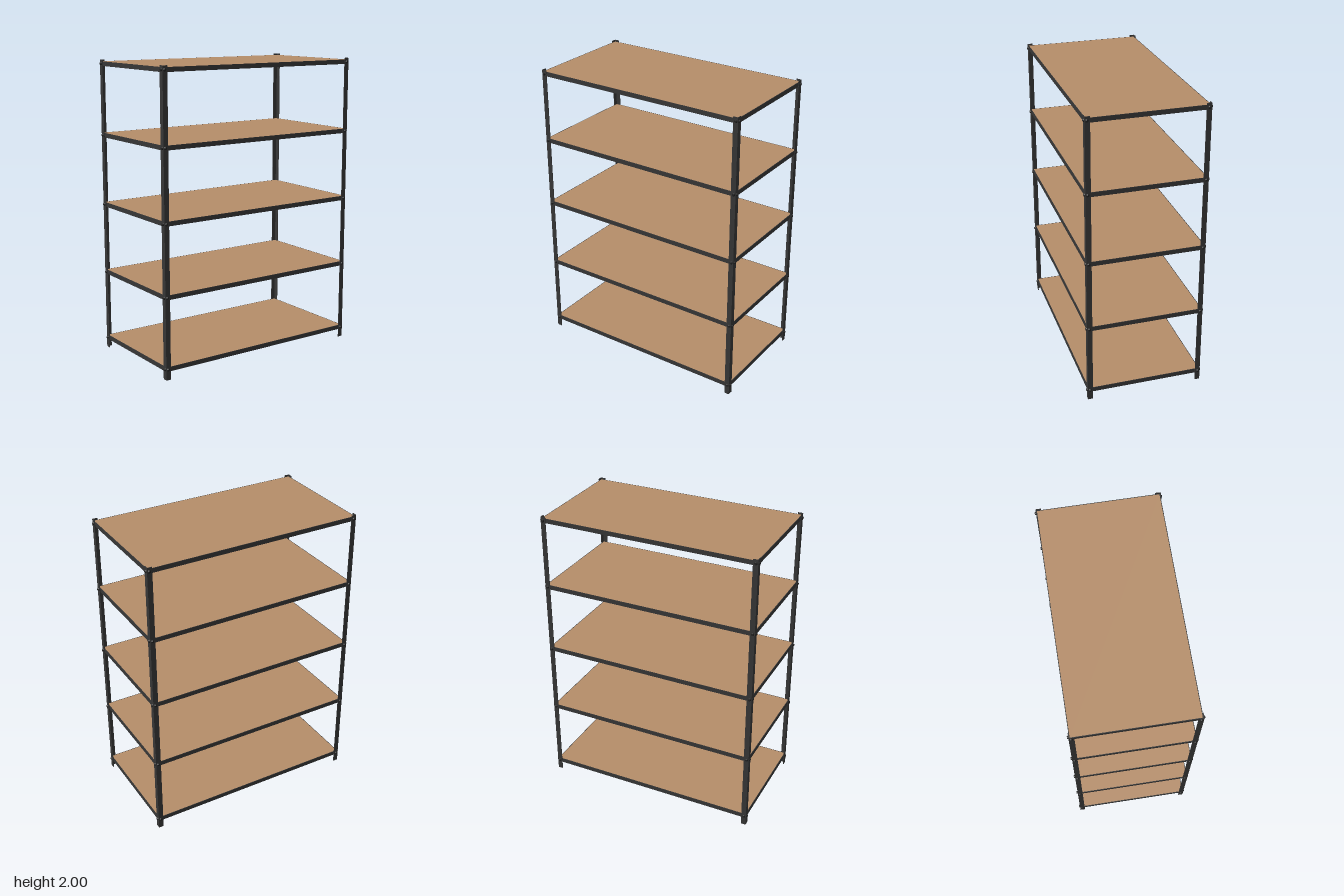
import * as THREE from 'three';

const frame = new THREE.MeshStandardMaterial({ color: 0x363636 });
frame.name = 'dark steel';
const wood = new THREE.MeshStandardMaterial({ color: 0xb58d69 });
wood.name = 'brown board';
const steel = new THREE.MeshStandardMaterial({ color: 0x222222 });
steel.name = 'black bolt';

const X = 0.395, Z = 0.748;       // outer faces of the posts
const T = 0.004, LEG = 0.034;     // sheet thickness, post flange width
const RAIL = 0.03, BOARD = 0.012; // rail height, board thickness
const LEVELS = [0.07, 0.546, 1.022, 1.498, 1.974];

function box(parent, name, mat, w, h, d, x, y, z) {
  const mesh = new THREE.Mesh(new THREE.BoxGeometry(w, h, d), mat);
  mesh.name = name;
  mesh.position.set(x, y, z);
  parent.add(mesh);
}

// L-section upright, extruded from the floor to the top
function post(sx, sz) {
  const pts = [[0, 0], [LEG, 0], [LEG, T], [T, T], [T, LEG], [0, LEG]]
    .map(([a, b]) => new THREE.Vector2(sx * (X - a), -sz * (Z - b)));
  const geo = new THREE.ExtrudeGeometry(new THREE.Shape(pts), { depth: 2, bevelEnabled: false });
  geo.rotateX(-Math.PI / 2);
  const mesh = new THREE.Mesh(geo, frame);
  mesh.name = 'cornerPost';
  return mesh;
}

// Bolt head outside the post and hexagonal nut inside the rail
function bolt(axis, s, x, y, z) {
  const group = new THREE.Group();
  group.name = 'bolt';
  const head = new THREE.Mesh(new THREE.CylinderGeometry(0.007, 0.011, 0.008, 16), steel);
  head.name = 'boltHead';
  head.position.y = 0.004;
  const nut = new THREE.Mesh(new THREE.CylinderGeometry(0.01, 0.01, 0.008, 6), steel);
  nut.name = 'boltNut';
  nut.position.y = -2 * T - 0.004;
  group.add(head, nut);
  if (axis === 'x') group.rotation.z = -s * Math.PI / 2;
  else group.rotation.x = s * Math.PI / 2;
  group.position.set(x, y, z);
  return group;
}

function shelf(y) {
  const group = new THREE.Group();
  group.name = 'shelf';
  const top = y + RAIL / 2, under = top - BOARD;
  const ix = X - T, iz = Z - T; // inner faces of the posts
  box(group, 'shelfBoard', wood, 2 * (ix - T), BOARD, 2 * (iz - T), 0, top - BOARD / 2, 0);
  for (const s of [-1, 1]) {
    // Rails: upright web with a ledge carrying the board
    box(group, 'sideRail', frame, T, RAIL, 2 * iz, s * (ix - T / 2), y, 0);
    box(group, 'sideRailLedge', frame, 0.018, T, 2 * (iz - T), s * (ix - T - 0.009), under - T / 2, 0);
    box(group, 'endRail', frame, 2 * (ix - T), RAIL, T, 0, y, s * (iz - T / 2));
    box(group, 'endRailLedge', frame, 2 * (ix - T), T, 0.018, 0, under - T / 2, s * (iz - T - 0.009));
    for (const t of [-1, 1]) {
      group.add(bolt('x', s, s * X, y, t * (Z - 0.015)));
      group.add(bolt('z', t, s * (X - 0.015), y, t * Z));
    }
  }
  // Middle support under the board
  box(group, 'crossBar', frame, 2 * (ix - T), RAIL - BOARD, 0.03, 0, under - (RAIL - BOARD) / 2, 0);
  return group;
}

export function createModel() {
  const model = new THREE.Group();
  model.name = 'shelvingRack';
  for (const sx of [-1, 1]) for (const sz of [-1, 1]) model.add(post(sx, sz));
  for (const y of LEVELS) model.add(shelf(y));
  return model;
}
